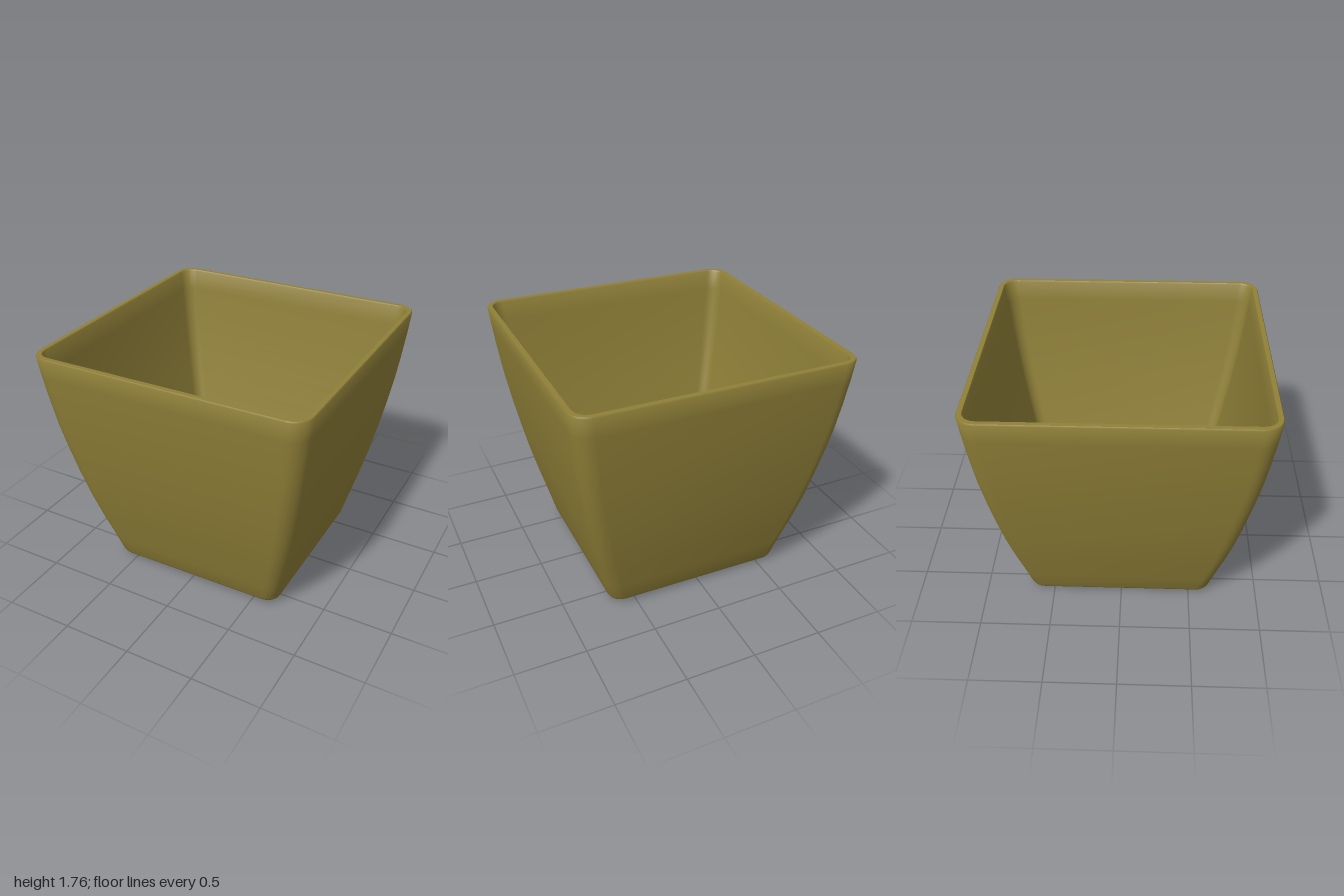
import * as THREE from 'three';
import { toCreasedNormals } from 'three/addons/utils/BufferGeometryUtils.js';

const FLOOR = 0.645, FLOOR_R = 0.09, BASE_Y = 0.027, FLOOR_Y = 0.07, TOP = 1.75;

// Rounded-square ring as [x, z] points
function ring(half, r, seg = 6) {
  const pts = [];
  for (let q = 0; q < 4; q++) {
    const mid = Math.PI / 4 + q * Math.PI / 2;
    const cx = Math.sign(Math.cos(mid)) * (half - r), cz = Math.sign(Math.sin(mid)) * (half - r);
    for (let k = 0; k <= seg; k++) {
      const a = (q + k / seg) * Math.PI / 2;
      pts.push([cx + r * Math.cos(a), cz + r * Math.sin(a)]);
    }
  }
  return pts;
}

// Skin rings given as [half size, corner radius, height]
function loft(sections) {
  const pos = [], idx = [];
  let n = 0;
  sections.forEach(([half, r, y]) => {
    const pts = ring(half, r);
    n = pts.length;
    pts.forEach(([x, z]) => pos.push(x, y, z));
  });
  for (let i = 0; i < sections.length - 1; i++) {
    for (let j = 0; j < n; j++) {
      const a = i * n + j, b = i * n + (j + 1) % n;
      idx.push(a, a + n, b, b, a + n, b + n);
    }
  }
  const g = new THREE.BufferGeometry();
  g.setAttribute('position', new THREE.Float32BufferAttribute(pos, 3));
  g.setIndex(idx);
  return g;
}

// The pot leans and tilts very slightly
function lean(g) {
  const p = g.attributes.position;
  for (let i = 0; i < p.count; i++) {
    const x = p.getX(i), y = p.getY(i), k = 1 - y / TOP;
    p.setXYZ(i, x + 0.016 * k, y + 0.009 * x, p.getZ(i) - 0.01 * k);
  }
  return toCreasedNormals(g, 0.75);
}

export function createModel() {
  const group = new THREE.Group();
  group.name = 'planter';
  const olive = new THREE.MeshStandardMaterial({ color: 0x908038 });
  olive.name = 'olive';
  const add = (name, g) => {
    const m = new THREE.Mesh(lean(g), olive);
    m.name = name;
    group.add(m);
  };

  // Walls: up the bowed outside, over the rim, down the inside
  const profile = [[0.67, 0.05], [0.71, 0.2], [0.765, 0.4], [0.815, 0.6], [0.858, 0.8],
    [0.897, 1.0], [0.932, 1.2], [0.96, 1.4], [0.984, 1.6], [0.998, 1.74]];
  const radius = y => 0.1 + 0.03 * y / TOP;
  const outer = profile.map(([h, y]) => [h, radius(y), y]);
  const inner = profile.slice(1).reverse().map(([h, y]) => [h - 0.043, radius(y) - 0.035, y]);
  add('walls', loft([
    [FLOOR, FLOOR_R, BASE_Y], [0.66, 0.095, 0.032], ...outer,
    [0.992, 0.124, TOP], [0.961, 0.097, TOP],
    ...inner, [0.655, 0.08, 0.09], [FLOOR, FLOOR_R, FLOOR_Y],
  ]));

  // Floor with five drainage holes
  const floor = new THREE.Shape(ring(FLOOR, FLOOR_R).map(([x, z]) => new THREE.Vector2(x, z)));
  [[0, 0, 0.083], [0.415, 0, 0.073], [-0.415, 0, 0.073], [0, 0.415, 0.073], [0, -0.415, 0.073]]
    .forEach(([x, y, r]) => floor.holes.push(new THREE.Path().absarc(x, y, r, 0, Math.PI * 2, true)));
  const slab = new THREE.ExtrudeGeometry(floor, { depth: FLOOR_Y - BASE_Y, bevelEnabled: false, curveSegments: 16 });
  slab.rotateX(-Math.PI / 2).translate(0, BASE_Y, 0);
  add('floor', slab);

  // Four small round feet
  for (const x of [-0.52, 0.52]) {
    for (const z of [-0.52, 0.52]) {
      const foot = new THREE.CylinderGeometry(0.07, 0.055, 0.028, 16);
      foot.translate(x, 0.019, z);
      add('foot', foot);
    }
  }
  return group;
}
